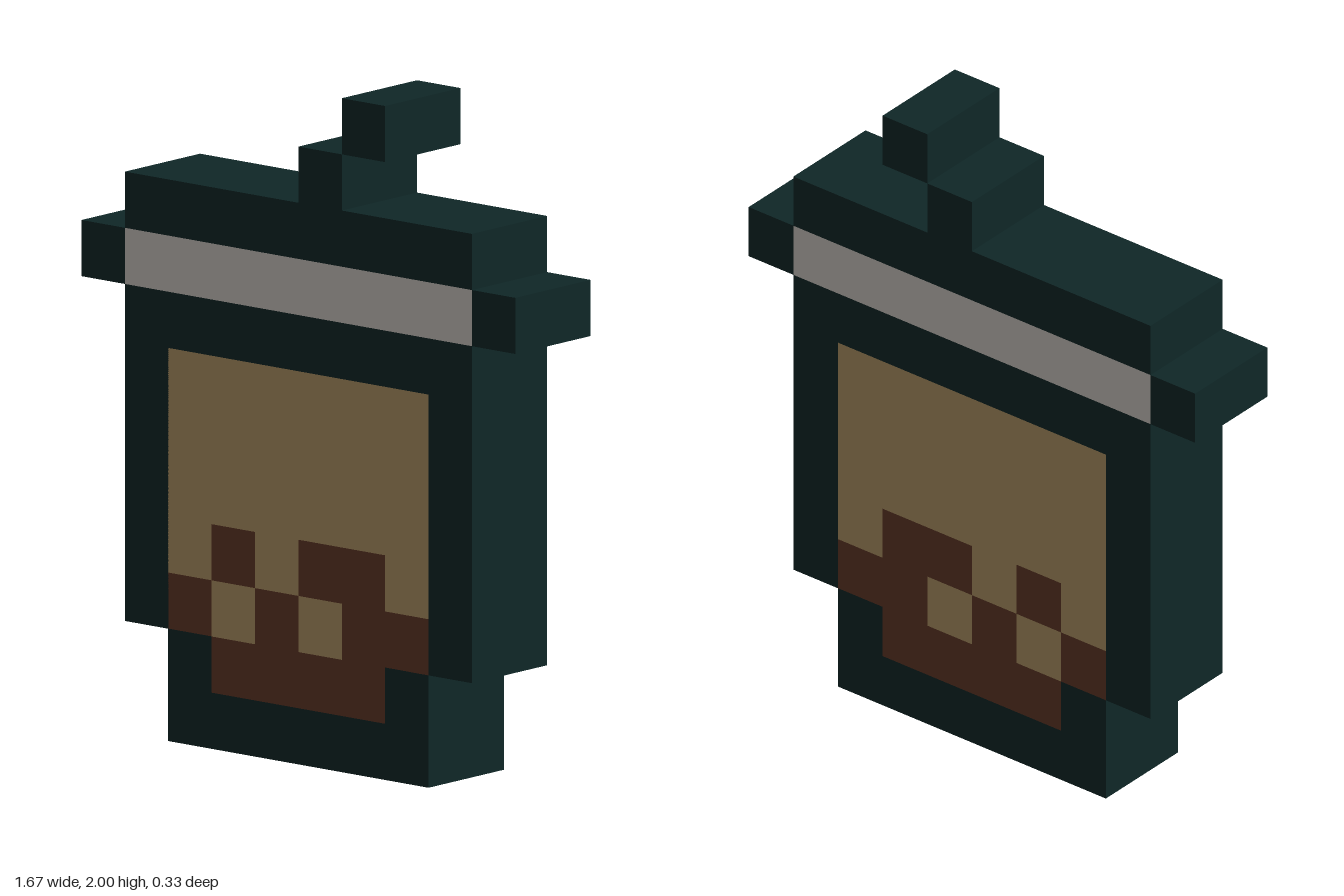
import * as THREE from 'three';

const U = 1 / 6; // one pixel
const DEPTH = 2 * U;

const material = (name, color) => {
  const m = new THREE.MeshStandardMaterial({ color });
  m.name = name;
  return m;
};

export function createModel() {
  const dark = material('dark teal', 0x0f2727);
  const white = material('warm white', 0xcdc7c1);
  const tan = material('tan', 0xb09465);
  const brown = material('brown', 0x613726);

  const model = new THREE.Group();
  model.name = 'pixelCup';

  const add = (parent, name, geometry, mat) => {
    const mesh = new THREE.Mesh(geometry, mat);
    mesh.name = name;
    parent.add(mesh);
    return mesh;
  };

  // full-depth block covering columns x0..x1 and rows y0..y1
  const block = (name, x0, x1, y0, y1, mat) =>
    add(model, name, new THREE.BoxGeometry((x1 - x0) * U, (y1 - y0) * U, DEPTH), mat)
      .position.set((x0 + x1) / 2 * U, (y0 + y1) / 2 * U, 0);

  const points = (list) => list.map(([x, y]) => new THREE.Vector2(x * U, y * U));

  // cup frame: stepped outline with an opening for the drink
  const outline = new THREE.Shape(points([
    [-3, 0], [3, 0], [3, 2], [4, 2], [4, 8], [-4, 8], [-4, 2], [-3, 2],
  ]));
  // the opening touches the step corners, so it stays a hair inside them
  const e = 0.002;
  outline.holes.push(new THREE.Path(points([
    [-3 + e, 2 + e], [-3 + e, 7], [3 - e, 7], [3 - e, 2 + e], [2, 2 + e], [2, 1], [-2, 1], [-2, 2 + e],
  ])));
  const frame = new THREE.ExtrudeGeometry(outline, { depth: DEPTH, bevelEnabled: false });
  frame.translate(0, 0, -DEPTH / 2);
  add(model, 'cupFrame', frame, dark);

  // lid, rim band, side tabs and bent straw
  block('rimBand', -4, 4, 8, 9, white);
  block('rightTab', -5, -4, 8, 9, dark);
  block('leftTab', 4, 5, 8, 9, dark);
  block('lid', -4, 4, 9, 10, dark);
  block('strawBase', 0, 1, 10, 11, dark);
  block('strawTip', 1, 2, 11, 12, dark);

  // drink: flush panels on front and back, as [x0, x1, y0, y1]
  const panels = (name, rects, mat) => {
    const group = new THREE.Group();
    group.name = name;
    model.add(group);
    for (const [x0, x1, y0, y1] of rects) {
      for (const side of [1, -1]) {
        const mesh = add(group, name + (side > 0 ? 'Front' : 'Back'),
          new THREE.PlaneGeometry((x1 - x0) * U, (y1 - y0) * U), mat);
        mesh.position.set((x0 + x1) / 2 * U, (y0 + y1) / 2 * U, side * DEPTH / 2);
        if (side < 0) mesh.rotation.y = Math.PI;
      }
    }
  };
  panels('milkTea', [
    [-3, 3, 4, 7], [-3, -2, 3, 4], [-1, 0, 3, 4], [2, 3, 3, 4],
    [-2, -1, 2, 3], [0, 1, 2, 3],
  ], tan);
  panels('pearls', [
    [-2, -1, 3, 4], [0, 2, 3, 4],
    [-3, -2, 2, 3], [-1, 0, 2, 3], [1, 3, 2, 3],
    [-2, 2, 1, 2],
  ], brown);

  return model;
}
